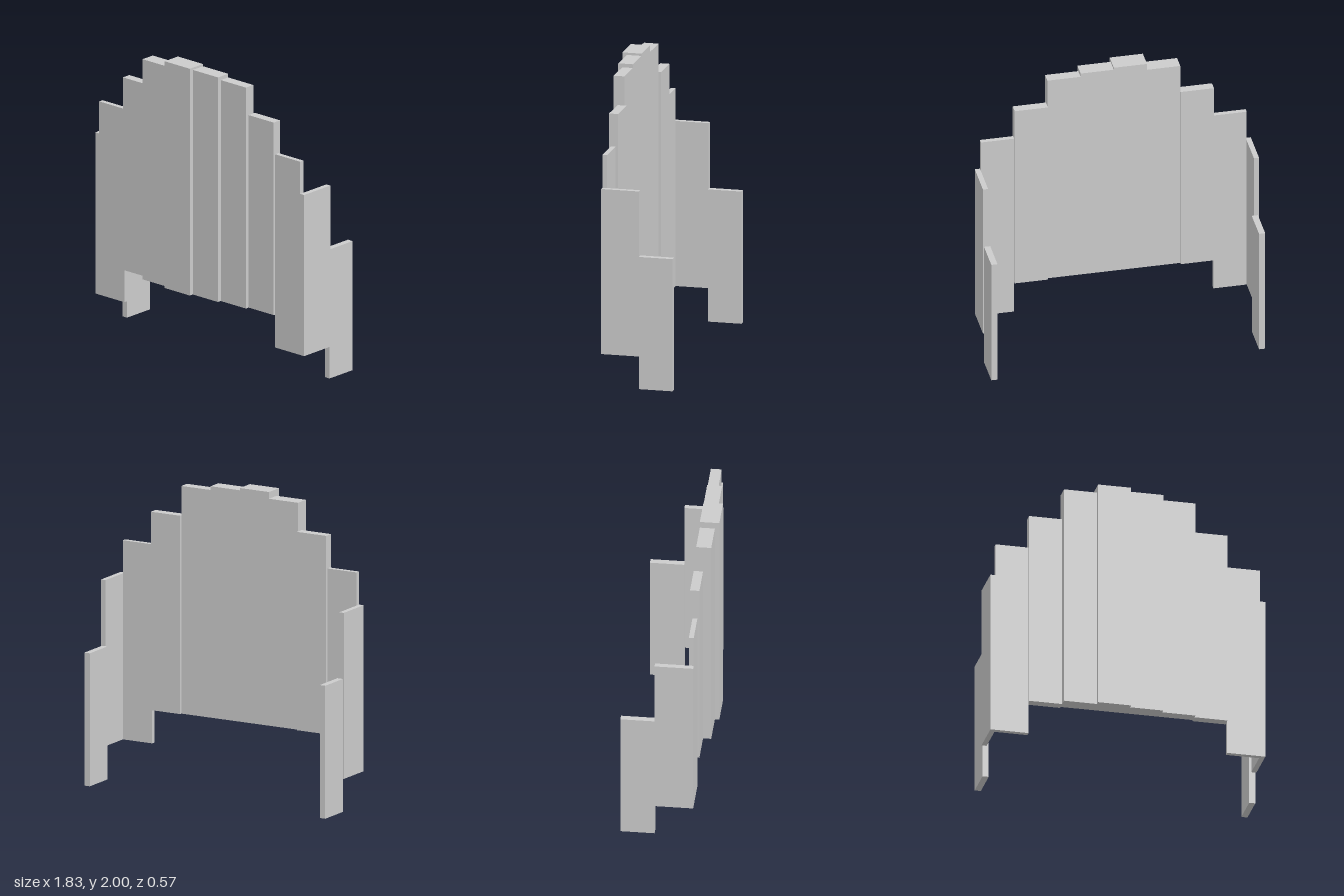
import * as THREE from 'three';

export function createModel() {
  const group = new THREE.Group();
  const material = new THREE.MeshStandardMaterial({ color: 0xcccccc, flatShading: true });

  // Box given by its minimum and maximum corners
  function panel(name, [x0, y0, z0], [x1, y1, z1]) {
    const mesh = new THREE.Mesh(new THREE.BoxGeometry(x1 - x0, y1 - y0, z1 - z0), material);
    mesh.position.set((x0 + x1) / 2, (y0 + y1) / 2, (z0 + z1) / 2);
    mesh.name = name;
    group.add(mesh);
  }

  // Front planks from right to left: bottom, top, back, front
  const width = 0.22;
  const startX = -0.8825;
  const planks = [
    [0.22, 1.545, 0.158, 0.19],
    [0.445, 1.765, 0.142, 0.203],
    [0.445, 1.955, 0.158, 0.256],
    [0.445, 2.0, 0.158, 0.285],
    [0.445, 1.985, 0.158, 0.256],
    [0.445, 1.96, 0.158, 0.229],
    [0.445, 1.765, 0.142, 0.203],
    [0.22, 1.545, 0.158, 0.19],
  ];
  planks.forEach(([y0, y1, z0, z1], i) => {
    const x = startX + i * width;
    panel(`frontPlank${i + 1}`, [x, y0, z0], [x + width, y1, z1]);
  });

  // Side walls, stepping down and slightly inwards towards the rear
  for (const [side, s] of [['left', 1], ['right', -1]]) {
    const wall = (name, inner, outer, y0, y1, z0, z1) => {
      const xs = [s * inner - 0.0025, s * outer - 0.0025].sort((a, b) => a - b);
      panel(side + name, [xs[0], y0, z0], [xs[1], y1, z1]);
    };
    wall('SidePanel', 0.88, 0.914, 0.22, 1.325, -0.062, 0.19);
    wall('RearPanel', 0.866, 0.907, 0, 0.885, -0.285, -0.062);
  }

  return group;
}
